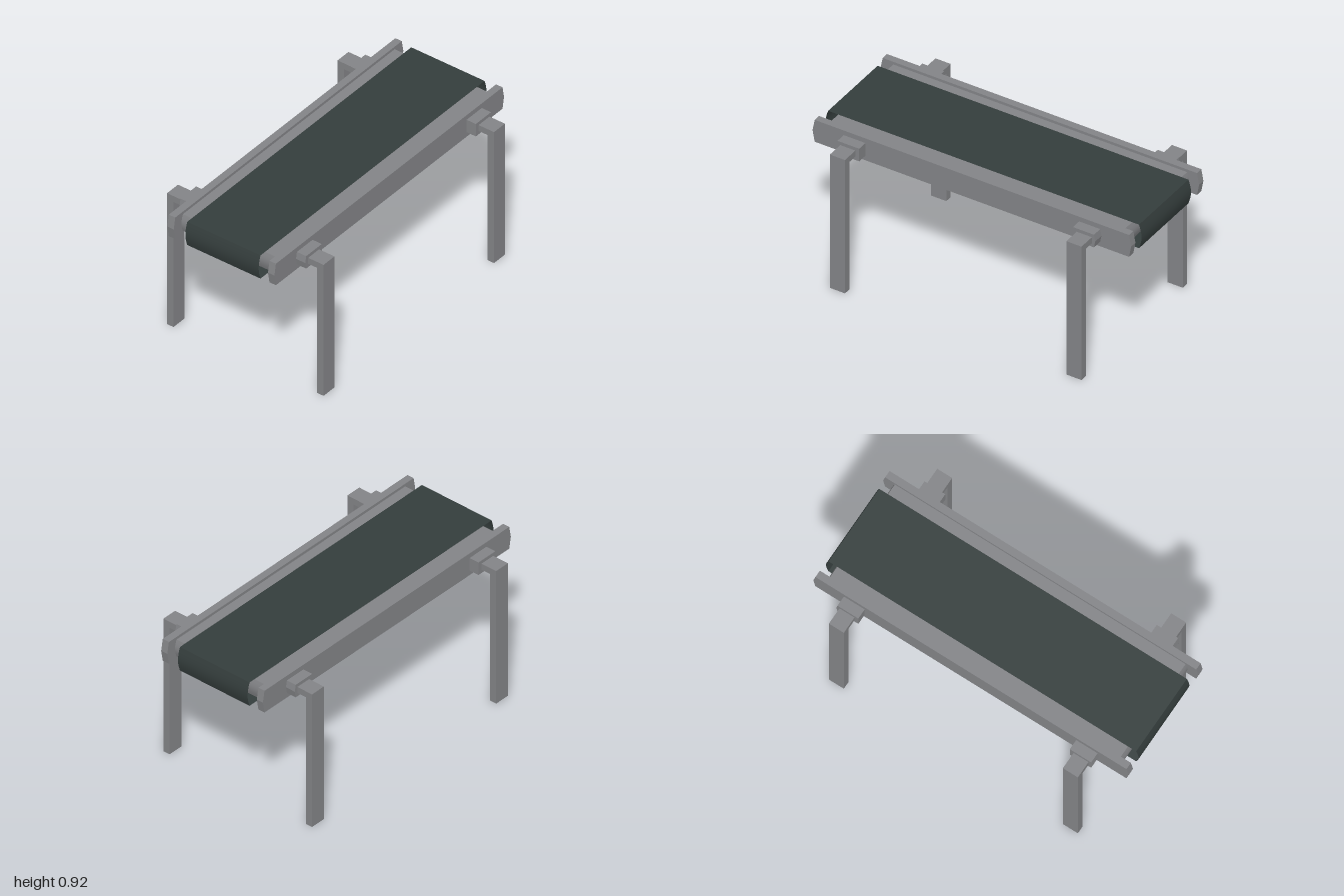
import * as THREE from 'three';
import { toCreasedNormals } from 'three/addons/utils/BufferGeometryUtils.js';

const steel = new THREE.MeshStandardMaterial({ color: 0x828386 });
steel.name = 'steel grey';
const rubber = new THREE.MeshStandardMaterial({ color: 0x343d3c, side: THREE.DoubleSide });
rubber.name = 'dark rubber';

// Side profile as [z, y] points: flat top and bottom, ends bulging outward.
// Runs along the top to the front, down, and back along the bottom.
function profile(zBack, zFront, y0, y1, backBulge, frontBulge, steps) {
  const points = [];
  for (const [z, bulge, from, to] of [[zFront, frontBulge, y1, y0], [zBack, -backBulge, y0, y1]]) {
    for (let i = 0; i <= steps; i++) {
      const t = i / steps;
      points.push([z + bulge * Math.sin(Math.PI * t), from + (to - from) * t]);
    }
  }
  return points;
}

// Solid bar with a side profile, spanning x0 to x1
function bar(name, points, x0, x1, crease) {
  const shape = new THREE.Shape(points.map(([z, y]) => new THREE.Vector2(z, y)));
  const geometry = new THREE.ExtrudeGeometry(shape, { depth: x1 - x0, bevelEnabled: false });
  geometry.rotateY(-Math.PI / 2).translate(x1, 0, 0);
  const mesh = new THREE.Mesh(toCreasedNormals(geometry, crease), steel);
  mesh.name = name;
  return mesh;
}

function box(name, x0, x1, y0, y1, z0, z1) {
  const geometry = new THREE.BoxGeometry(x1 - x0, y1 - y0, z1 - z0);
  geometry.translate((x0 + x1) / 2, (y0 + y1) / 2, (z0 + z1) / 2);
  const mesh = new THREE.Mesh(geometry, steel);
  mesh.name = name;
  return mesh;
}

// Open loop of thin belt wrapped around a profile
function beltLoop(points, width) {
  const loop = [...points, points[0]];
  const geometry = new THREE.PlaneGeometry(width, 1, 1, loop.length - 1);
  const pos = geometry.attributes.position;
  for (let i = 0; i < pos.count; i++) {
    const [z, y] = loop[Math.floor(i / 2)];
    pos.setXYZ(i, pos.getX(i), y, z);
  }
  const mesh = new THREE.Mesh(toCreasedNormals(geometry, 0.5), rubber);
  mesh.name = 'belt';
  return mesh;
}

export function createModel() {
  const model = new THREE.Group();
  model.name = 'conveyor';

  // Belt and the bed it wraps around
  model.add(beltLoop(profile(-0.978, 0.974, 0.76, 0.913, 0.016, 0.016, 8), 0.49));
  model.add(bar('bed', profile(-0.925, 0.92, 0.79, 0.9, 0.013, 0.013, 8), -0.315, 0.315, 0.5));

  for (const side of [1, -1]) {
    const span = (a, b) => (side > 0 ? [a, b] : [-b, -a]);
    const sideName = side > 0 ? 'left' : 'right';

    // Side rail with shallow pointed ends
    const railProfile = profile(-0.987, 0.987, 0.775, 0.917, 0.013, 0.013, 2);
    model.add(bar(sideName + 'Rail', railProfile, ...span(0.315, 0.358), 0.05));

    // Bracket, arm and leg at each end
    for (const end of [1, -1]) {
      const leg = new THREE.Group();
      leg.name = sideName + (end > 0 ? 'Front' : 'Back') + 'Leg';
      const bracketProfile = end > 0
        ? profile(0.668, 0.804, 0.805, 0.887, 0, 0.008, 2)
        : profile(-0.806, -0.674, 0.805, 0.887, 0.008, 0, 2);
      const [z0, z1] = end > 0 ? [0.692, 0.787] : [-0.793, -0.698];
      leg.add(
        bar('bracket', bracketProfile, ...span(0.358, 0.42), 0.05),
        box('arm', ...span(0.42, 0.48), 0.827, 0.866, z0, z1),
        box('post', ...span(0.48, 0.523), 0, 0.866, z0, z1)
      );
      model.add(leg);
    }
  }
  return model;
}
